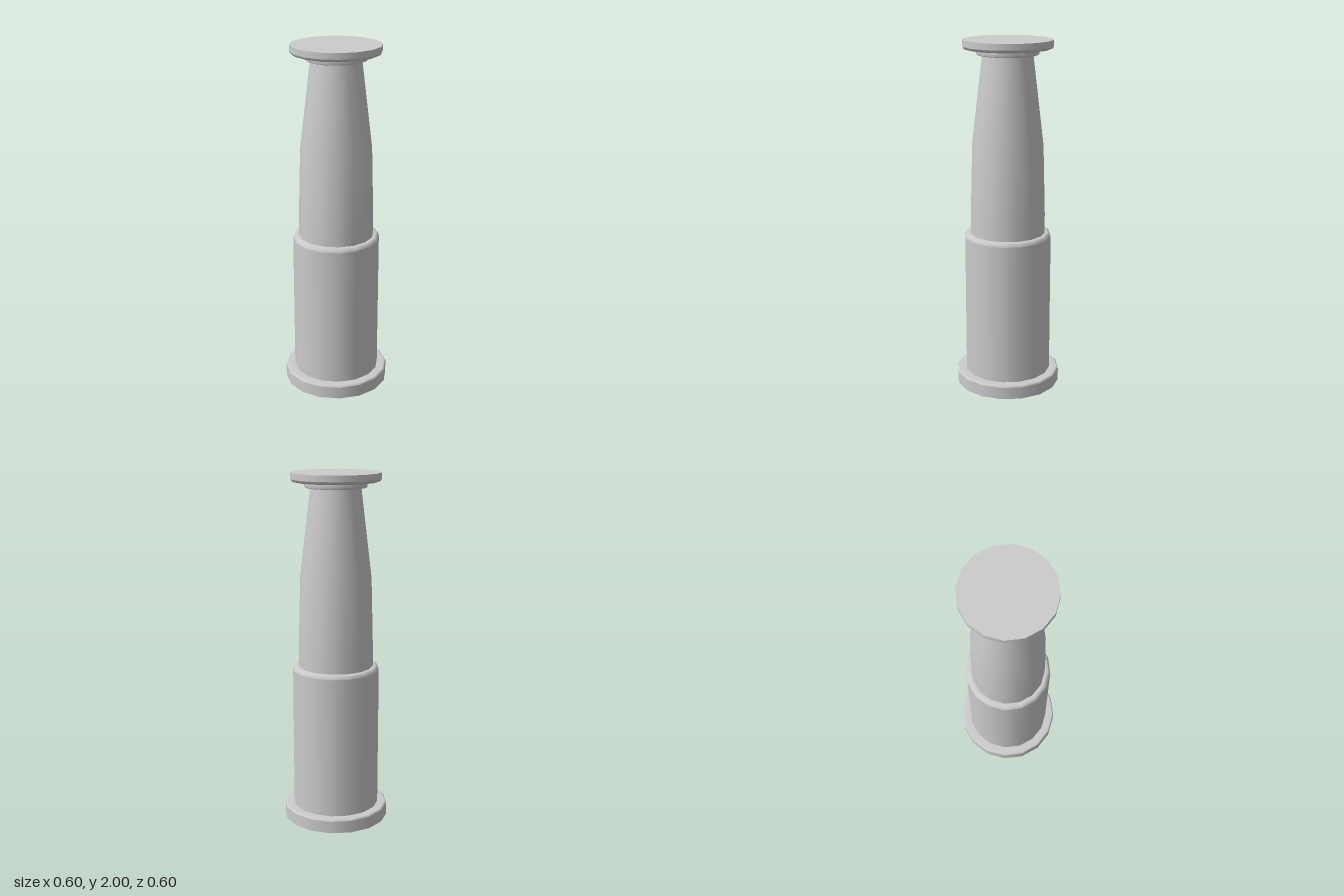
import * as THREE from 'three';

const SIDES = 16;
const material = new THREE.MeshStandardMaterial({ color: 0xcccccc, side: THREE.DoubleSide });

// Each profile is [radius, height] from bottom to top; smooth inside, sharp between profiles.
function turned(name, ...profiles) {
  const part = new THREE.Group();
  part.name = name;
  profiles.forEach((profile, i) => {
    const points = profile.map(([r, y]) => new THREE.Vector2(r, y));
    const mesh = new THREE.Mesh(new THREE.LatheGeometry(points, SIDES), material);
    mesh.name = `${name}Surface${i + 1}`;
    part.add(mesh);
  });
  return part;
}

export function createModel() {
  const model = new THREE.Group();
  model.name = 'column';

  // Hollow foot ring, open underneath, with a softened upper rim
  model.add(turned('footRing',
    [[0.3, 0], [0.3, 0.07]],
    [[0.3, 0.07], [0.297, 0.077], [0.29, 0.08], [0.247, 0.08]]));

  // Wide lower sleeve with a rounded shoulder
  model.add(turned('lowerSleeve',
    [[0.247, 0.08], [0.247, 0.89]],
    [[0.247, 0.89], [0.243, 0.905], [0.23, 0.912], [0.213, 0.912]]));

  // Tapering upper shaft
  model.add(turned('upperShaft',
    [[0.213, 0.912], [0.212, 1.03], [0.201, 1.42], [0.141, 1.918]]));

  // Thin collar beneath the cap
  model.add(turned('collar',
    [[0.141, 1.918], [0.168, 1.918]],
    [[0.168, 1.918], [0.174, 1.923], [0.174, 1.945], [0.17, 1.95]]));

  // Cap disc: rounded lower edge, straight rim, flat top
  model.add(turned('cap',
    [[0.17, 1.95], [0.235, 1.95], [0.247, 1.955], [0.252, 1.966]],
    [[0.252, 1.966], [0.252, 2]],
    [[0.252, 2], [0, 2]]));

  return model;
}
